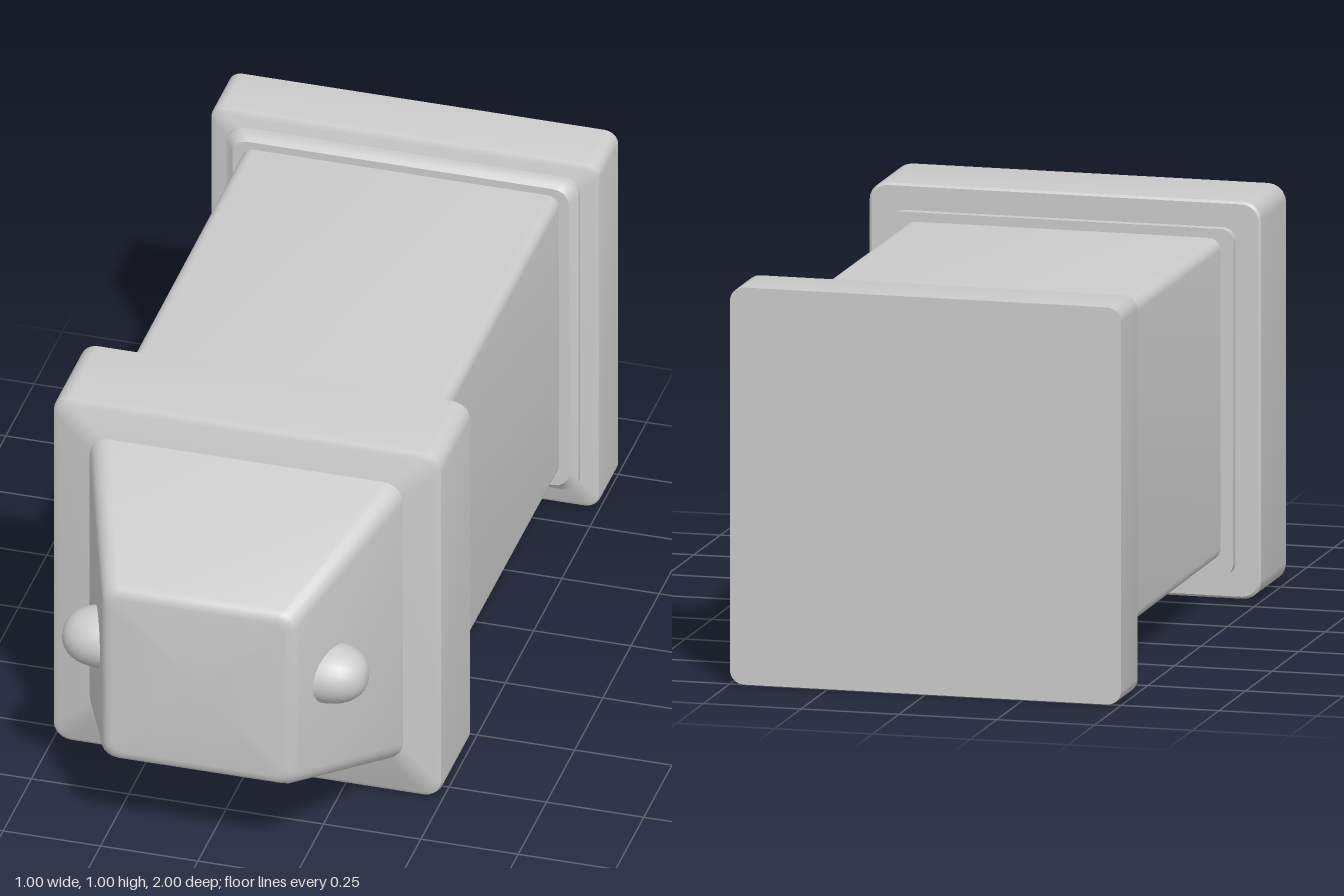
import * as THREE from 'three';
import { toCreasedNormals } from 'three/addons/utils/BufferGeometryUtils.js';

const material = new THREE.MeshStandardMaterial({ color: 0xcccccc });
const CORNER_STEPS = 5;

// Outline of a rounded square, counter-clockwise seen from +z
function ring(half, radius, cy, z) {
  const points = [];
  for (let c = 0; c < 4; c++) {
    const mid = Math.PI / 4 + c * Math.PI / 2;
    const x = Math.sign(Math.cos(mid)) * (half - radius);
    const y = Math.sign(Math.sin(mid)) * (half - radius);
    for (let i = 0; i <= CORNER_STEPS; i++) {
      const a = c * Math.PI / 2 + (i / CORNER_STEPS) * Math.PI / 2;
      points.push(x + radius * Math.cos(a), cy + y + radius * Math.sin(a), z);
    }
  }
  return points;
}

// Closed loft through rounded squares [z, half width, corner radius], back to front
function loft(name, cy, sections) {
  const n = 4 * (CORNER_STEPS + 1);
  const positions = sections.flatMap(([z, half, radius]) => ring(half, radius, cy, z));
  const index = [];
  const last = sections.length - 1;
  const backCentre = n * sections.length;
  positions.push(0, cy, sections[0][0], 0, cy, sections[last][0]);
  for (let j = 0; j < n; j++) {
    const k = (j + 1) % n;
    for (let i = 0; i < last; i++) {
      const a = i * n + j, b = i * n + k;
      index.push(a, b, b + n, a, b + n, a + n);
    }
    index.push(backCentre, k, j, backCentre + 1, last * n + j, last * n + k);
  }
  const geometry = new THREE.BufferGeometry();
  geometry.setAttribute('position', new THREE.Float32BufferAttribute(positions, 3));
  geometry.setIndex(index);
  const mesh = new THREE.Mesh(toCreasedNormals(geometry, 0.7), material);
  mesh.name = name;
  return mesh;
}

// Blunt rounded knob on the sloping side of the nose
function knob(side) {
  const profile = [];
  for (let i = 0; i <= 12; i++) {
    const a = (i / 12) * Math.PI / 2;
    profile.push(new THREE.Vector2(0.083 * Math.cos(a) ** 0.8, 0.1 * Math.sin(a)));
  }
  profile[12].x = 0;
  profile.unshift(new THREE.Vector2(0.083, -0.05));
  const geometry = new THREE.LatheGeometry(profile, 24);
  geometry.rotateZ(-side * Math.PI / 2);
  geometry.scale(1, 0.92, 1.02);
  const mesh = new THREE.Mesh(geometry, material);
  mesh.position.set(side * 0.29, 0.51, 0.84);
  mesh.name = side > 0 ? 'leftKnob' : 'rightKnob';
  return mesh;
}

export function createModel() {
  const group = new THREE.Group();
  group.name = 'squareHousing';
  group.add(
    // Rear plate, sharp at the back and softened at its front edge
    loft('rearPlate', 0.503, [
      [-1, 0.5, 0.035], [-0.845, 0.5, 0.035], [-0.835, 0.497, 0.035], [-0.828, 0.485, 0.03],
    ]),
    loft('rearStep', 0.508, [
      [-0.84, 0.452, 0.04], [-0.815, 0.452, 0.04], [-0.808, 0.44, 0.04], [-0.797, 0.432, 0.04],
    ]),
    // Square main body
    loft('body', 0.513, [[-0.85, 0.407, 0.03], [0.35, 0.405, 0.03]]),
    loft('frontStep', 0.505, [[0.285, 0.437, 0.03], [0.33, 0.437, 0.03]]),
    // Front collar with a soft front edge
    loft('frontCollar', 0.508, [
      [0.307, 0.494, 0.04], [0.313, 0.5, 0.045], [0.55, 0.5, 0.045],
      [0.562, 0.497, 0.045], [0.57, 0.485, 0.04],
    ]),
    // Tapered nose
    loft('nose', 0.508, [
      [0.56, 0.404, 0.05], [0.575, 0.401, 0.05], [0.975, 0.255, 0.04],
      [0.99, 0.246, 0.04], [0.998, 0.235, 0.035], [1, 0.222, 0.03],
    ]),
    knob(1),
    knob(-1),
  );
  return group;
}
